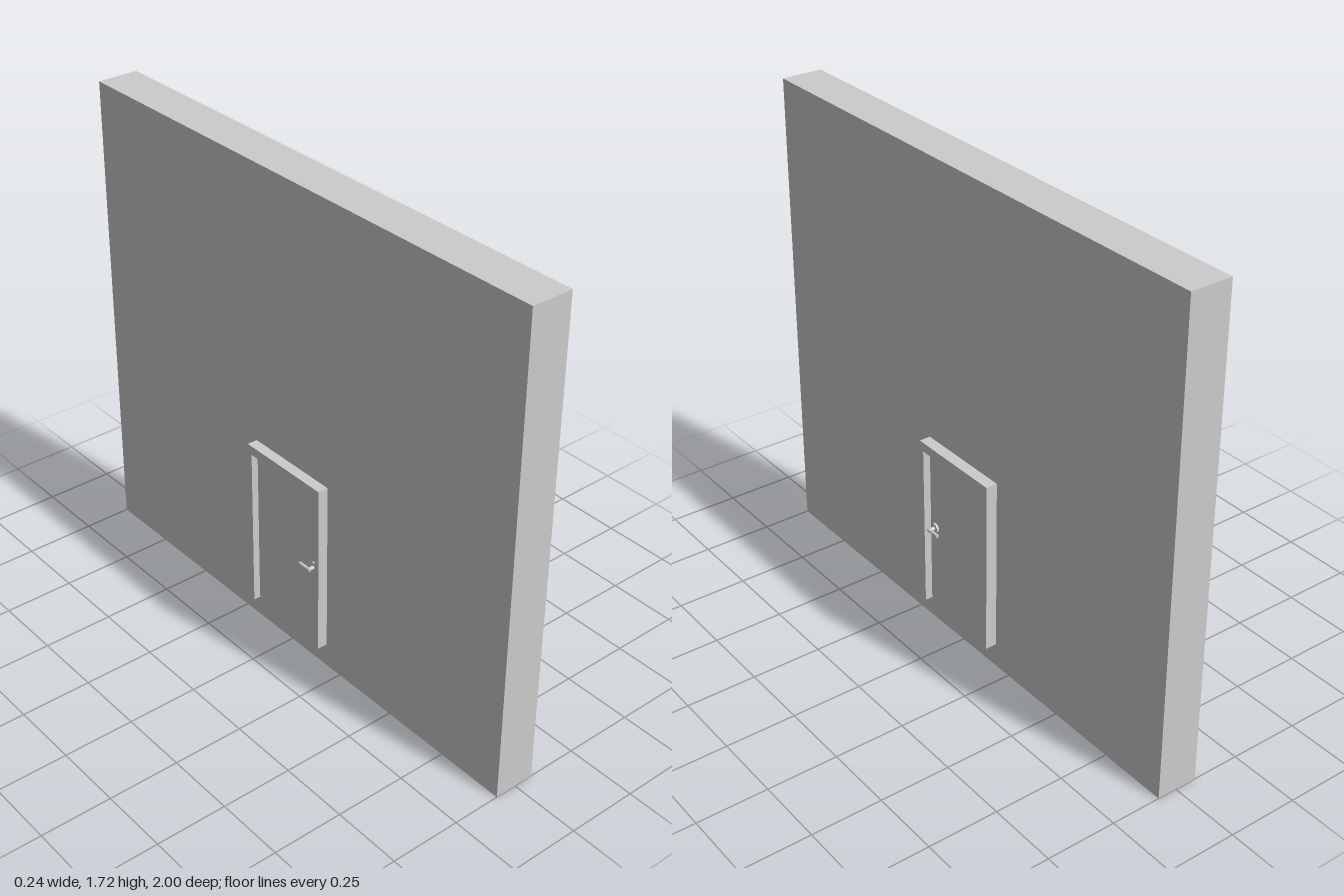
import * as THREE from 'three';

const material = new THREE.MeshStandardMaterial({ color: 0xcccccc });

// Box given by its min and max corners
function box(name, [x0, y0, z0], [x1, y1, z1]) {
  const mesh = new THREE.Mesh(new THREE.BoxGeometry(x1 - x0, y1 - y0, z1 - z0), material);
  mesh.name = name;
  mesh.position.set((x0 + x1) / 2, (y0 + y1) / 2, (z0 + z1) / 2);
  return mesh;
}

// Round bar along 'x' or 'z'
function rod(name, radius, length, axis, x, y, z) {
  const geometry = new THREE.CylinderGeometry(radius, radius, length, 20);
  if (axis === 'x') geometry.rotateZ(Math.PI / 2);
  else geometry.rotateX(Math.PI / 2);
  const mesh = new THREE.Mesh(geometry, material);
  mesh.name = name;
  mesh.position.set(x, y, z);
  return mesh;
}

// Lever handle standing out from a door face, side = +1 or -1 along x
function doorHandle(side, faceX) {
  const handle = new THREE.Group();
  handle.name = side > 0 ? 'leftHandle' : 'rightHandle';
  const y = 0.39, z = 0.135;
  handle.add(
    rod('rosette', 0.018, 0.008, 'x', faceX + side * 0.004, y, z),
    rod('neck', 0.007, 0.028, 'x', faceX + side * 0.014, y, z),
    rod('lever', 0.006, 0.052, 'z', faceX + side * 0.026, y, z - 0.02)
  );
  return handle;
}

export function createModel() {
  const model = new THREE.Group();
  model.name = 'wallWithDoor';

  model.add(box('wall', [-0.078, 0, -1], [0.07, 1.717, 1]));

  // Door slab, slightly proud of both wall faces
  model.add(box('door', [-0.09, 0.093, -0.165], [0.084, 0.69, 0.163]));

  // Frame: one cross-section with the opening cut from below, run through the wall
  const outline = [
    [-0.182, 0.088], [-0.163, 0.088], [-0.163, 0.686], [0.163, 0.686],
    [0.163, 0.088], [0.182, 0.088], [0.182, 0.719], [-0.182, 0.719],
  ];
  const shape = new THREE.Shape(outline.map(([z, y]) => new THREE.Vector2(z, y)));
  const geometry = new THREE.ExtrudeGeometry(shape, { depth: 0.226, bevelEnabled: false });
  geometry.rotateY(Math.PI / 2);
  const frame = new THREE.Mesh(geometry, material);
  frame.name = 'doorFrame';
  frame.position.x = -0.115;
  model.add(frame);

  model.add(doorHandle(1, 0.084), doorHandle(-1, -0.09));
  return model;
}
